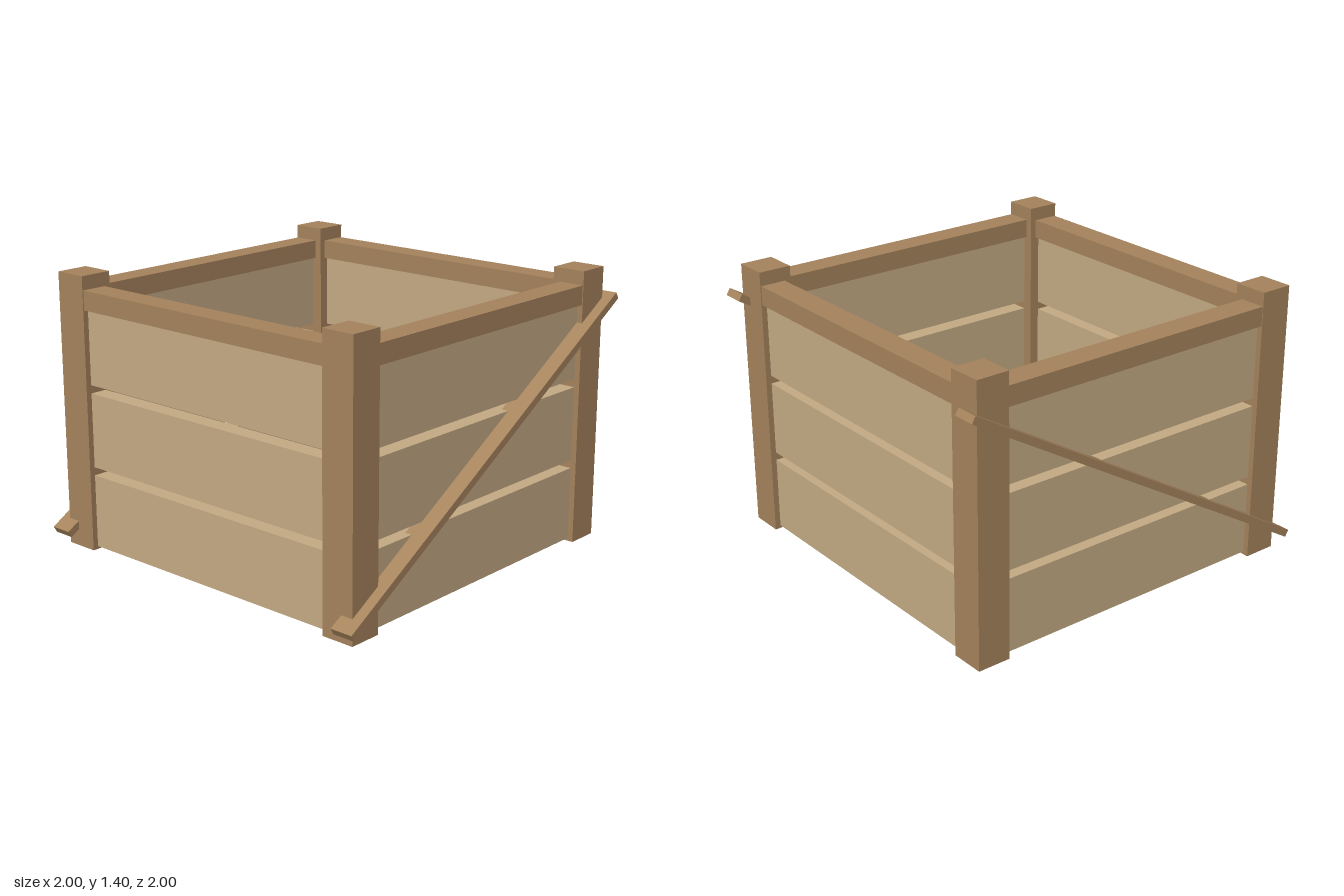
import * as THREE from 'three';

export function createModel() {
  const model = new THREE.Group();
  const frameWood = new THREE.MeshStandardMaterial({ color: 0xa5835c, flatShading: true });
  const slatWood = new THREE.MeshStandardMaterial({ color: 0xc4aa84, flatShading: true });

  // Box given by its minimum and maximum on each axis
  function box(name, material, [x0, x1], [y0, y1], [z0, z1]) {
    const mesh = new THREE.Mesh(new THREE.BoxGeometry(x1 - x0, y1 - y0, z1 - z0), material);
    mesh.position.set((x0 + x1) / 2, (y0 + y1) / 2, (z0 + z1) / 2);
    mesh.name = name;
    model.add(mesh);
    return mesh;
  }
  // Range from a to b away from the crate's centre, on the given side
  const shift = -0.003;
  const span = (side, a, b) => (side > 0 ? [a + shift, b + shift] : [-b + shift, -a + shift]);
  const across = [-0.775 + shift, 0.775 + shift];
  const along = [-0.764 + shift, 0.764 + shift];
  const slatHeights = [[0.015, 0.39], [0.432, 0.812], [0.854, 1.233]];
  const railHeight = [1.232, 1.33];

  // Corner posts
  for (const sx of [-1, 1])
    for (const sz of [-1, 1])
      box('cornerPost', frameWood, span(sx, 0.774, 0.949), [0, 1.4], span(sz, 0.763, 0.934));

  // Four walls: a top rail over three recessed slats
  for (const side of [-1, 1]) {
    const end = side > 0 ? 'front' : 'back';
    const flank = side > 0 ? 'left' : 'right';
    box(end + 'Rail', frameWood, across, railHeight, span(side, 0.796, 0.929));
    box(flank + 'Rail', frameWood, span(side, 0.812, 0.945), railHeight, along);
    for (const heights of slatHeights) {
      box(end + 'Slat', slatWood, across, heights, span(side, 0.815, 0.905));
      box(flank + 'Slat', slatWood, span(side, 0.83, 0.92), heights, along);
    }
  }

  // Floor panel
  box('floor', frameWood, span(1, -0.835, 0.835), [0, 0.03], span(1, -0.82, 0.82));

  // Diagonal braces, low at the front and high at the back
  for (const side of [-1, 1]) {
    const x = side > 0 ? [0.88, 1] : [-1, -0.885];
    const brace = box(side > 0 ? 'leftBrace' : 'rightBrace', frameWood, x, [0.644, 0.682], [-1.152, 1.152]);
    brace.rotation.x = Math.atan2(1.179, 1.98);
  }

  return model;
}
